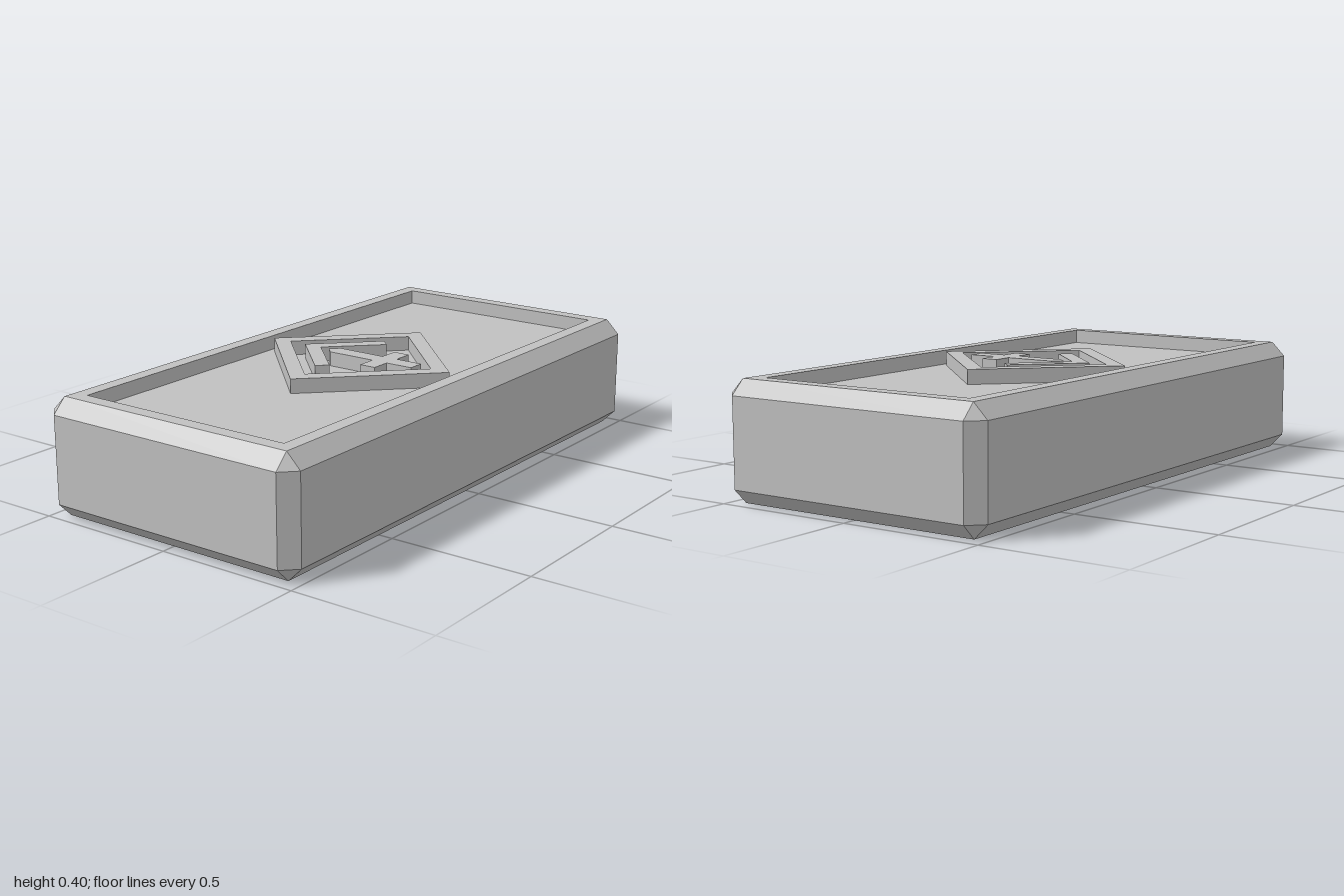
import * as THREE from 'three';

const DEPTH = 0.05; // panel recess and relief height

// Rectangle loop of eight points; cut > 0 chamfers the corners, cut = 0 doubles them
function ring(hx, hz, y, cut = 0) {
  const a = hx - cut, b = hz - cut;
  return [
    [hx, b], [a, hz], [-a, hz], [-hx, b],
    [-hx, -b], [-a, -hz], [a, -hz], [hx, -b],
  ].map(([x, z]) => new THREE.Vector3(x, y, z));
}

// Chamfered block with a recessed panel above and below
function blockGeometry() {
  const rings = [
    ring(0.4, 0.9, DEPTH),
    ring(0.4, 0.9, 0),
    ring(0.45, 0.95, 0),
    ring(0.5, 1, 0.05, 0.05),
    ring(0.5, 1, 0.35, 0.05),
    ring(0.45, 0.95, 0.4),
    ring(0.4, 0.9, 0.4),
    ring(0.4, 0.9, 0.4 - DEPTH),
  ];
  const points = [];
  const tri = (a, b, c) => {
    if (!a.equals(b) && !b.equals(c) && !c.equals(a)) points.push(a, b, c);
  };
  for (let r = 0; r < rings.length - 1; r++) {
    const lo = rings[r], hi = rings[r + 1];
    for (let i = 0; i < 8; i++) {
      const j = (i + 1) % 8;
      tri(lo[i], hi[i], hi[j]);
      tri(lo[i], hi[j], lo[j]);
    }
  }
  // Panel floors
  const bottom = rings[0], top = rings[7];
  for (let i = 1; i < 7; i++) {
    tri(bottom[0], bottom[i], bottom[i + 1]);
    tri(top[0], top[i + 1], top[i]);
  }
  const geometry = new THREE.BufferGeometry().setFromPoints(points);
  geometry.computeVertexNormals();
  return geometry;
}

const toShape = (pts) => new THREE.Shape(pts.map(([x, y]) => new THREE.Vector2(x, y)));
const diamond = (r) => [[r, 0], [0, r], [-r, 0], [0, -r]];
// Adds the mirrored half of an outline that is symmetric about its long axis
const mirrored = (half) => [
  ...half,
  ...half.filter(([, y]) => y !== 0).reverse().map(([x, y]) => [x, -y]),
];

export function createModel() {
  const model = new THREE.Group();
  model.name = 'ornamentalBlock';
  const metal = new THREE.MeshStandardMaterial({ color: 0xc0c0c0 });
  metal.name = 'grey metal';

  const block = new THREE.Mesh(blockGeometry(), metal);
  block.name = 'block';
  model.add(block);

  // Relief outlines
  const frame = toShape(diamond(0.375));
  frame.holes.push(new THREE.Path(diamond(0.3).map(([x, y]) => new THREE.Vector2(x, y))));
  const chevron = toShape([
    [-0.235, 0], [-0.035, 0.2], [0, 0.165], [-0.165, 0],
    [0, -0.165], [-0.035, -0.2],
  ]);
  const dagger = toShape(mirrored([
    [-0.13, 0], [-0.1, 0.03], [0.08, 0.03], [0.08, 0.1],
    [0.14, 0.1], [0.14, 0.03], [0.24, 0.03],
  ]));
  const parts = { diamondFrame: frame, chevron, dagger };

  // Same relief on both panels, flush with the rims
  for (const side of [1, -1]) {
    const relief = new THREE.Group();
    relief.name = side > 0 ? 'topRelief' : 'bottomRelief';
    for (const [name, shape] of Object.entries(parts)) {
      const geometry = new THREE.ExtrudeGeometry(shape, { depth: DEPTH, bevelEnabled: false });
      const mesh = new THREE.Mesh(geometry, metal);
      mesh.name = name;
      relief.add(mesh);
    }
    relief.rotation.x = -side * Math.PI / 2;
    relief.position.y = side > 0 ? 0.4 - DEPTH : DEPTH;
    model.add(relief);
  }
  return model;
}
